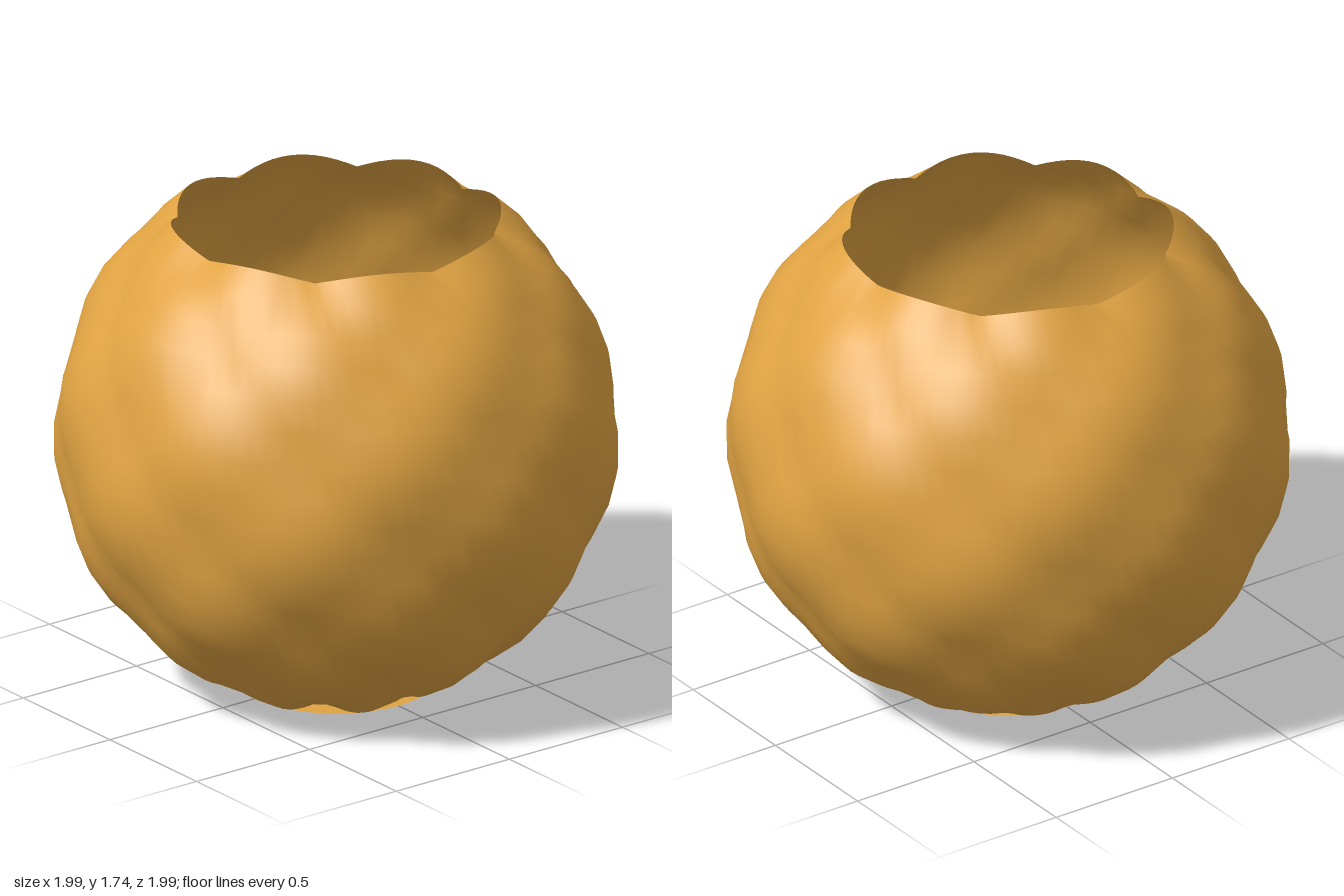
import * as THREE from 'three';
import { mergeVertices } from 'three/addons/utils/BufferGeometryUtils.js';

const amber = new THREE.MeshStandardMaterial({ color: 0xe0a342, side: THREE.DoubleSide });
amber.name = 'amber';
const cream = new THREE.MeshStandardMaterial({ color: 0xe0d6bc });
cream.name = 'cream';

const CENTRE_Y = 0.935;
const RADIUS = 0.953;
const RELIEF = 0.05;
const TOP = 0.629; // polar angle of the upper rim
const BOTTOM = 2.756; // polar angle of the lower rim

// Open globe covered in staggered rows of eight rounded bumps
function shellGeometry() {
  let g = new THREE.SphereGeometry(1, 96, 18, 0, Math.PI * 2, TOP, BOTTOM - TOP);
  g.deleteAttribute('uv');
  g.deleteAttribute('normal');
  const p = g.attributes.position;
  const v = new THREE.Vector3();
  for (let i = 0; i < p.count; i++) {
    v.fromBufferAttribute(p, i);
    const a = 4 * Math.atan2(v.x, v.z);
    const polar = Math.acos(THREE.MathUtils.clamp(v.y, -1, 1));
    const u = 3 * Math.PI * (polar - TOP) / (BOTTOM - TOP);
    const bump = Math.max(
      Math.abs(Math.sin(a) * Math.cos(u)),
      Math.abs(Math.cos(a) * Math.sin(u))
    );
    v.multiplyScalar(RADIUS * (1 + RELIEF * bump));
    p.setXYZ(i, v.x, v.y + CENTRE_Y, v.z);
  }
  g = mergeVertices(g, 1e-4);
  g.computeVertexNormals();
  return g;
}

export function createModel() {
  const group = new THREE.Group();
  group.name = 'lantern';

  const add = (name, geometry, material, y = 0) => {
    const mesh = new THREE.Mesh(geometry, material);
    mesh.name = name;
    mesh.position.y = y;
    group.add(mesh);
    return mesh;
  };

  add('shell', shellGeometry(), amber);

  // Thin floor under the lower opening
  add('floor', new THREE.CircleGeometry(0.36, 48).rotateX(-Math.PI / 2), amber, 0.003);

  // Tapered lamp base with a small bulb on top
  add('lampBase', new THREE.CylinderGeometry(0.237, 0.345, 0.4, 48), cream, 0.25);
  add('bulb', new THREE.SphereGeometry(0.09, 10, 8), cream, 0.52);

  return group;
}
